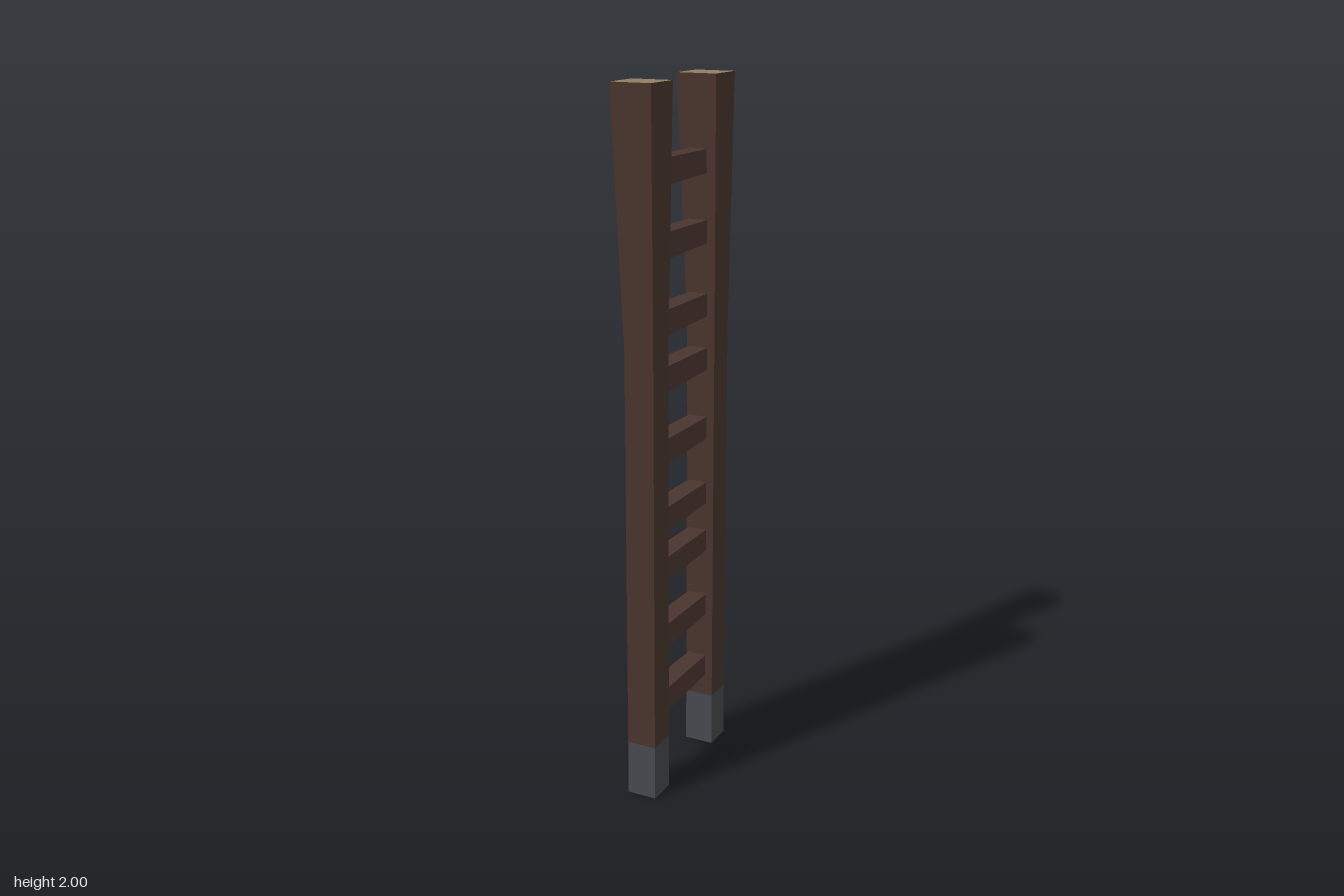
import * as THREE from 'three';

const material = (name, color) => {
  const m = new THREE.MeshStandardMaterial({ color });
  m.name = name;
  return m;
};

// Post outline at each height: [y, x centre, distance from z = 0, half width]
const FOOT = [[0, 0.01, 0.184, 0.043], [0.16, 0.01, 0.184, 0.043]];
const POST = [[0.16, 0.01, 0.184, 0.043], [1.3, 0.01, 0.184, 0.043], [2, 0, 0.185, 0.059]];

// Square column whose rows of corners follow the given sections
function column(sections, side) {
  const n = sections.length - 1;
  const geo = new THREE.BoxGeometry(2, n, 2, 1, n, 1);
  const p = geo.attributes.position;
  for (let i = 0; i < p.count; i++) {
    const [y, cx, cz, half] = sections[Math.round(p.getY(i) + n / 2)];
    p.setXYZ(i, cx + p.getX(i) * half, y, side * cz + p.getZ(i) * half);
  }
  geo.computeVertexNormals();
  return geo;
}

export function createModel() {
  const group = new THREE.Group();
  group.name = 'ladder';
  const wood = material('dark wood', 0x49352d);
  const rungWood = material('rung wood', 0x4a3530);
  const cutWood = material('cut wood', 0x937d5f);
  const iron = material('dark iron', 0x484950);

  const add = (name, geo, mat) => {
    const mesh = new THREE.Mesh(geo, mat);
    mesh.name = name;
    group.add(mesh);
    return mesh;
  };

  // Two flared posts with pale cut tops and iron feet
  for (const side of [1, -1]) {
    const end = side > 0 ? 'front' : 'back';
    add(end + 'Post', column(POST, side), [wood, wood, cutWood, wood, wood, wood]);
    add(end + 'Foot', column(FOOT, side), iron);
  }

  // Unevenly spaced rungs, slightly thicker at the front end
  const rungGeo = new THREE.BoxGeometry(2, 2, 0.31);
  const p = rungGeo.attributes.position;
  for (let i = 0; i < p.count; i++) {
    const front = p.getZ(i) > 0;
    p.setX(i, 0.002 + p.getX(i) * (front ? 0.032 : 0.028));
    p.setY(i, p.getY(i) * (front ? 0.036 : 0.032));
  }
  rungGeo.computeVertexNormals();
  [0.257, 0.456, 0.66, 0.808, 1.006, 1.21, 1.366, 1.573, 1.767].forEach((y, i) => {
    add('rung' + (i + 1), rungGeo, rungWood).position.y = y;
  });

  return group;
}
